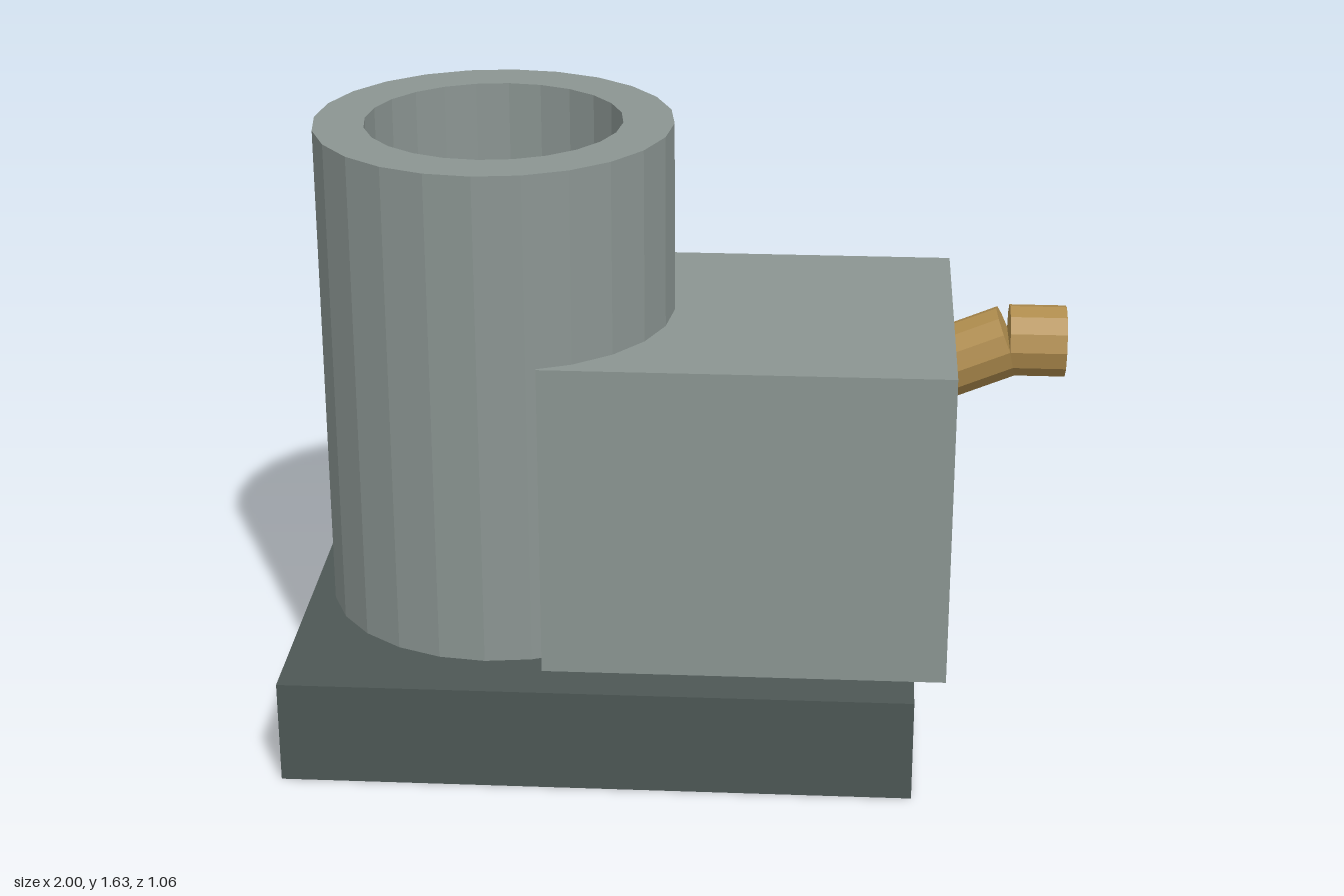
import * as THREE from 'three';

const flat = (geometry) => {
  const g = geometry.index ? geometry.toNonIndexed() : geometry;
  g.computeVertexNormals();
  return g;
};

export function createModel() {
  const model = new THREE.Group();
  model.name = 'pumpHousing';

  const bodyGrey = new THREE.MeshStandardMaterial({ name: 'body grey', color: 0x8b9592 });
  const baseGrey = new THREE.MeshStandardMaterial({ name: 'dark base grey', color: 0x4d5755 });
  const brass = new THREE.MeshStandardMaterial({ name: 'brass', color: 0xb08d4e });

  const add = (name, geometry, material, x, y, z = 0) => {
    const mesh = new THREE.Mesh(flat(geometry), material);
    mesh.name = name;
    mesh.position.set(x, y, z);
    model.add(mesh);
    return mesh;
  };

  // Base slab
  add('base', new THREE.BoxGeometry(1.63, 0.275, 1.06), baseGrey, -0.185, 0.1375);

  // Open tube, 24 flat sides, floating just above the base
  const outer = 0.46, inner = 0.33, bottom = 0.325, top = 1.628;
  const profile = [[inner, bottom], [outer, bottom], [outer, top], [inner, top], [inner, bottom]]
    .map(([r, y]) => new THREE.Vector2(r, y));
  add('tube', new THREE.LatheGeometry(profile, 24), bodyGrey, -0.47, 0);

  // Block that cuts into the tube
  add('block', new THREE.BoxGeometry(1.037, 0.835, 0.88), bodyGrey, 0.1925, 0.7075);

  // Bent spout: two solid rods whose end caps meet at the joint
  const joint = new THREE.Vector2(0.855, 1.062);
  const rod = (name, length, angle, direction) => {
    const x = joint.x + direction * Math.cos(angle) * length / 2;
    const y = joint.y + direction * Math.sin(angle) * length / 2;
    const mesh = add(name, new THREE.CylinderGeometry(0.093, 0.093, length, 12), brass, x, y);
    mesh.rotation.z = angle - Math.PI / 2;
  };
  rod('spoutNeck', 0.27, Math.PI / 8, -1);
  rod('spoutTip', 0.145, 0, 1);

  return model;
}
